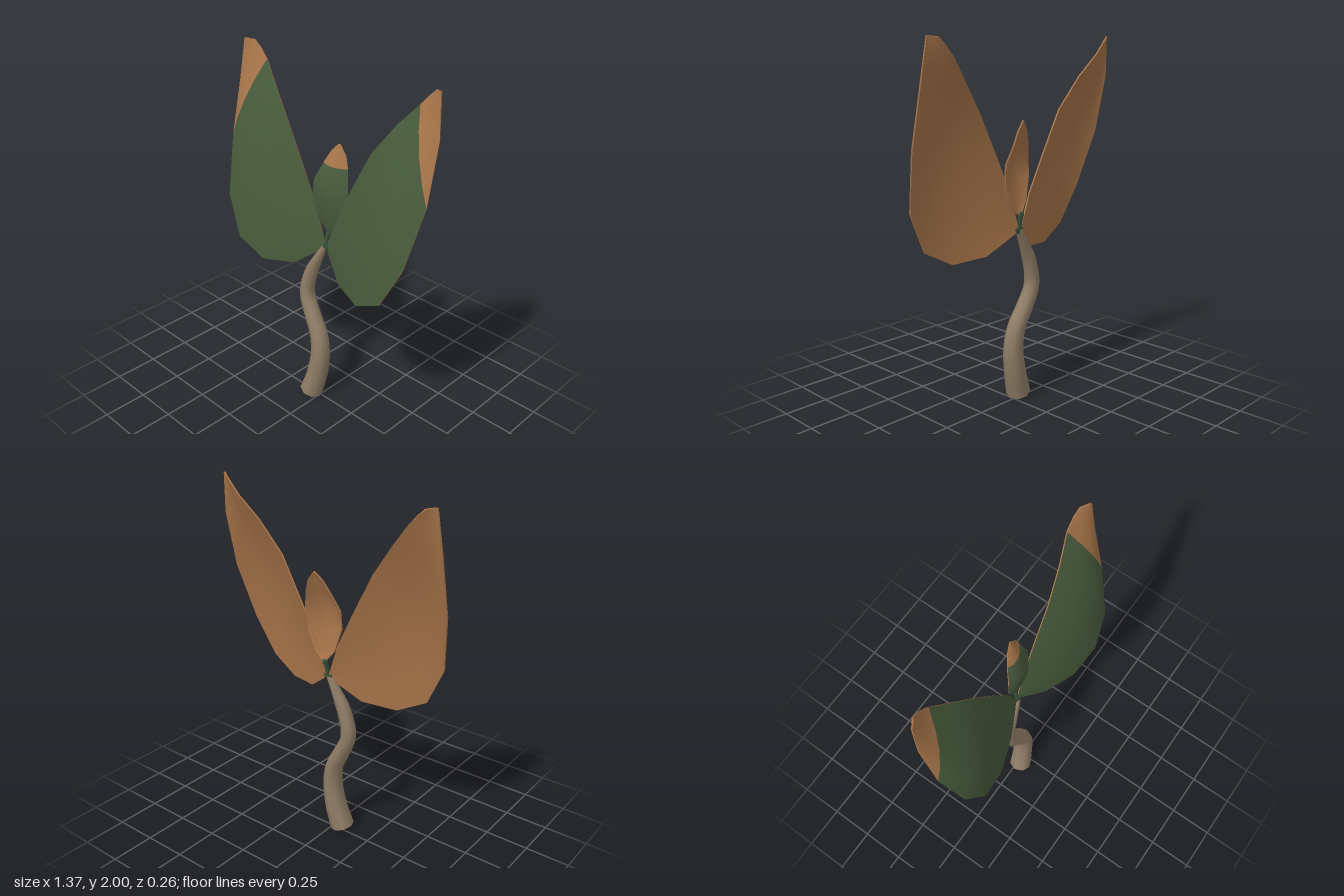
import * as THREE from 'three';

const paint = (name, color) => Object.assign(new THREE.MeshStandardMaterial({ color }), { name });
const green = paint('leafGreen', 0x485b3c);
const copper = paint('leafCopper', 0xa8754a);
const bark = paint('stemBark', 0x927f68);
const stalkGreen = paint('stalkGreen', 0x35533a);

const V = (p) => new THREE.Vector3(...p);
const ACROSS = 4, W = ACROSS + 1, HALF_THICKNESS = 0.004;

function indexed(pos, idx) {
  const g = new THREE.BufferGeometry();
  g.setAttribute('position', new THREE.Float32BufferAttribute(pos, 3));
  g.setIndex(idx);
  g.computeVertexNormals();
  return g;
}

// Curved sheet through rows of [left edge, middle, right edge]; back = true turns it over.
// Each side is moved outwards by half the leaf thickness.
function sheet(rows, mirror, back, tipRow) {
  const pos = [], idx = [];
  for (const [l, m, r] of rows) {
    const L = V(l), M = V(m), R = V(r);
    const control = M.clone().multiplyScalar(2).sub(L.clone().add(R).multiplyScalar(0.5));
    const arc = new THREE.QuadraticBezierCurve3(L, control, R);
    for (let j = 0; j <= ACROSS; j++) {
      const p = arc.getPoint(j / ACROSS);
      pos.push(mirror ? -p.x : p.x, p.y, p.z);
    }
  }
  const flip = mirror !== back;
  for (let i = 0; i < rows.length - 1; i++) {
    for (let j = 0; j < ACROSS; j++) {
      const a = i * W + j, b = a + 1, c = b + W, d = a + W;
      idx.push(...(flip ? [a, c, b, a, d, c] : [a, b, c, a, c, d]));
    }
  }
  const g = indexed(pos, idx);
  const p = g.attributes.position, n = g.attributes.normal;
  for (let i = 0; i < p.count; i++) {
    p.setXYZ(i, p.getX(i) + n.getX(i) * HALF_THICKNESS, p.getY(i) + n.getY(i) * HALF_THICKNESS,
      p.getZ(i) + n.getZ(i) * HALF_THICKNESS);
  }
  const split = tipRow * ACROSS * 6;
  g.addGroup(0, split, 0);
  g.addGroup(split, idx.length - split, 1);
  return g;
}

// Narrow band joining the outlines of the two sheets
function rim(front, back, rowCount, mirror) {
  const loop = [];
  for (let j = 0; j < ACROSS; j++) loop.push(j);
  for (let i = 0; i < rowCount - 1; i++) loop.push(i * W + ACROSS);
  for (let j = ACROSS; j > 0; j--) loop.push((rowCount - 1) * W + j);
  for (let i = rowCount - 1; i > 0; i--) loop.push(i * W);
  const pos = [], idx = [], v = new THREE.Vector3();
  loop.forEach((k, i) => {
    for (const g of [front, back]) pos.push(...v.fromBufferAttribute(g.attributes.position, k));
    const a = 2 * i, b = 2 * ((i + 1) % loop.length);
    idx.push(...(mirror ? [a, b, a + 1, b, b + 1, a + 1] : [a, a + 1, b, b, a + 1, b + 1]));
  });
  return indexed(pos, idx);
}

// Leaf: green face with a copper tip, copper underside and rim
function leaf(name, rows, tipRow, mirror = false) {
  const group = new THREE.Group();
  group.name = name;
  const front = sheet(rows, mirror, false, tipRow), back = sheet(rows, mirror, true, tipRow);
  const parts = {
    Face: new THREE.Mesh(front, [green, copper]),
    Underside: new THREE.Mesh(back, [copper, copper]),
    Rim: new THREE.Mesh(rim(front, back, rows.length, mirror), copper),
  };
  for (const [part, mesh] of Object.entries(parts)) {
    mesh.name = name + part;
    group.add(mesh);
  }
  return group;
}

// Tube along points, with radii spread evenly over its length, and closed ends
function taperedTube(name, points, radii, segments, sides, material) {
  const curve = new THREE.CatmullRomCurve3(points.map(V));
  const g = new THREE.TubeGeometry(curve, segments, 1, sides);
  const p = g.attributes.position, v = new THREE.Vector3(), w = sides + 1;
  const group = new THREE.Group();
  group.name = name;
  for (let i = 0; i <= segments; i++) {
    const t = i / segments, c = curve.getPointAt(t), f = t * (radii.length - 1);
    const k = Math.min(Math.floor(f), radii.length - 2);
    const r = THREE.MathUtils.lerp(radii[k], radii[k + 1], f - k);
    for (let j = 0; j < w; j++) {
      v.fromBufferAttribute(p, i * w + j).sub(c).multiplyScalar(r).add(c);
      p.setXYZ(i * w + j, v.x, v.y, v.z);
    }
  }
  const side = new THREE.Mesh(g, material);
  side.name = name + 'Side';
  group.add(side);
  // End caps fan out from the first vertex of each end ring
  for (const end of [0, segments]) {
    const pos = [], idx = [];
    for (let j = 0; j < sides; j++) {
      pos.push(...v.fromBufferAttribute(p, end * w + j));
      if (j > 1) idx.push(...(end ? [0, j, j - 1] : [0, j - 1, j]));
    }
    const cap = new THREE.Mesh(indexed(pos, idx), material);
    cap.name = name + (end ? 'Top' : 'Bottom');
    group.add(cap);
  }
  return group;
}

export function createModel() {
  const model = new THREE.Group();
  model.name = 'seedling';

  // Winding stem, thinner towards the top
  model.add(taperedTube('stem', [
    [-0.057, 0.016, 0.018], [-0.02, 0.15, 0.007], [0, 0.3, 0.002], [-0.018, 0.42, -0.005],
    [-0.07, 0.52, -0.012], [-0.125, 0.65, -0.02], [-0.1, 0.79, -0.025],
    [-0.05, 0.9, -0.03], [-0.005, 0.985, -0.035],
  ], [0.069, 0.061, 0.054, 0.048, 0.043, 0.037, 0.018], 24, 8, bark));

  // Pair of large side leaves
  const big = [
    [[0.01, 1.0, -0.045], [0.015, 0.985, -0.04], [0.025, 0.965, -0.035]],
    [[0.07, 1.18, -0.05], [0.12, 1.02, 0], [0.17, 0.855, 0.035]],
    [[0.17, 1.38, -0.055], [0.26, 1.11, 0.045], [0.355, 0.833, 0.1]],
    [[0.29, 1.61, -0.06], [0.405, 1.28, 0.065], [0.525, 0.922, 0.123]],
    [[0.42, 1.785, -0.09], [0.53, 1.48, 0.045], [0.635, 1.145, 0.09]],
    [[0.52, 1.9, -0.125], [0.603, 1.685, -0.03], [0.684, 1.465, 0]],
    [[0.57, 1.955, -0.127], [0.628, 1.87, -0.08], [0.68, 1.78, -0.07]],
    [[0.61, 1.99, -0.123], [0.63, 1.995, -0.105], [0.655, 1.999, -0.09]],
  ];
  model.add(leaf('leftLeaf', big, 5), leaf('rightLeaf', big, 5, true));

  // Small young leaf in the middle
  const small = [
    [[0, 1.075, -0.06], [0.01, 1.07, -0.058], [0.02, 1.07, -0.06]],
    [[-0.05, 1.14, -0.045], [0.015, 1.12, -0.04], [0.075, 1.115, -0.052]],
    [[-0.085, 1.27, -0.03], [0.02, 1.25, -0.015], [0.12, 1.23, -0.055]],
    [[-0.077, 1.37, -0.035], [0.025, 1.37, -0.015], [0.13, 1.35, -0.07]],
    [[-0.04, 1.465, -0.068], [0.03, 1.46, -0.057], [0.1, 1.455, -0.1]],
    [[-0.005, 1.535, -0.09], [0.037, 1.53, -0.085], [0.08, 1.52, -0.108]],
    [[0.03, 1.573, -0.105], [0.036, 1.576, -0.105], [0.042, 1.573, -0.107]],
  ];
  model.add(leaf('middleLeaf', small, 4));

  // Green stalks: a longer one to the middle leaf, a short one to each side leaf
  model.add(taperedTube('middleStalk', [
    [-0.003, 0.975, -0.035], [0, 1.03, -0.048], [0.004, 1.085, -0.064],
  ], [0.013, 0.012, 0.015], 4, 6, stalkGreen));
  for (const [name, s] of [['leftStalk', 1], ['rightStalk', -1]]) {
    model.add(taperedTube(name, [
      [-0.003, 0.97, -0.036], [s * 0.01, 0.983, -0.04], [s * 0.024, 0.995, -0.038],
    ], [0.012, 0.01], 3, 6, stalkGreen));
  }

  return model;
}
